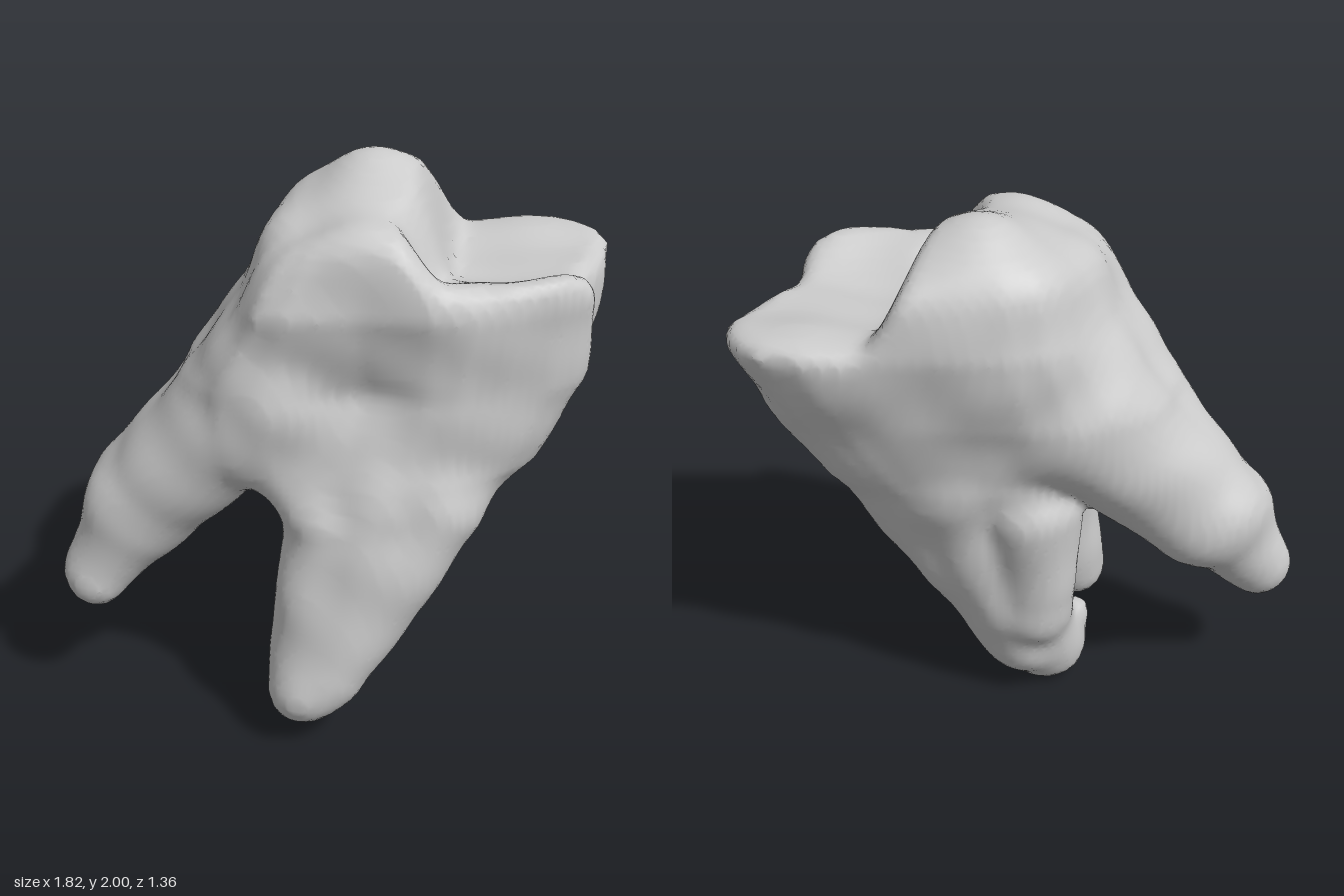
import * as THREE from 'three';

const V = (x, y, z) => new THREE.Vector3(x, y, z);
const { smoothstep, lerp } = THREE.MathUtils;

// Crown outlines: height, then (x, z) points around the contour
const OUTLINES = [
  [0.68, [[0, .2], [0, .05], [.1, -.15], [.25, -.22], [.38, -.18], [.42, 0], [.4, .2], [.3, .35], [.15, .42], [.03, .38]]],
  [0.84, [[-.1, .25], [-.13, 0], [.05, -.2], [.3, -.31], [.48, -.28], [.56, -.05], [.55, .2], [.35, .42], [.15, .5], [-.05, .5]]],
  [1.0, [[-.34, .2], [-.22, -.1], [.1, -.31], [.4, -.4], [.66, -.33], [.76, -.05], [.73, .15], [.45, .41], [.15, .48], [-.2, .5]]],
  [1.3, [[-.47, .15], [-.29, -.2], [.15, -.42], [.58, -.55], [.82, -.43], [.86, -.1], [.88, .1], [.52, .37], [.2, .39], [-.28, .54]]],
  [1.6, [[-.3, .08], [-.22, -.27], [.15, -.48], [.66, -.69], [.89, -.52], [.87, -.15], [.91, .1], [.55, .39], [.2, .47], [-.14, .53]]],
  [1.9, [[-.19, .05], [-.16, -.22], [.15, -.47], [.66, -.69], [.89, -.52], [.87, -.15], [.9, .1], [.55, .35], [.22, .42], [-.03, .4]]],
].map(([y, pts]) => ({
  y,
  pts: new THREE.CatmullRomCurve3(pts.map(([x, z]) => V(x, 0, z)), true).getPoints(30).slice(0, 30),
}));

// Root limbs: start, start radius, end, end radius
const LIMBS = [
  // right root, front half then back half
  [V(-.79, .49, .48), .115, V(-.65, .75, .37), .195],
  [V(-.65, .75, .37), .195, V(-.18, 1.24, .3), .25],
  [V(-.79, .52, .45), .11, V(-.62, .79, .29), .205],
  [V(-.62, .79, .29), .205, V(-.2, 1.24, .06), .28],
  // front root
  [V(.02, .2, .55), .13, V(.08, .8, .4), .16],
  [V(.07, .23, .54), .125, V(.24, .86, .35), .19],
  [V(.13, .27, .52), .13, V(.4, .86, .27), .2],
  // back root
  [V(-.08, .13, .1), .125, V(-.09, .4, -.05), .13],
  [V(-.09, .4, -.05), .13, V(-.07, .86, -.07), .19],
  [V(-.03, .12, .08), .12, V(.03, .25, 0), .14],
  [V(-.02, .22, -.02), .13, V(.19, .92, -.14), .2],
  [V(.03, .22, -.02), .12, V(.41, .9, -.1), .22],
  // curled tip of the back root
  [V(-.13, .18, .13), .075, V(-.16, .28, .14), .06],
];

const smin = (a, b, k) => {
  const h = Math.max(k - Math.abs(a - b), 0) / k;
  return Math.min(a, b) - h * h * k / 4;
};
const smax = (a, b, k) => -smin(-a, -b, k);
const bump = (x, z, cx, cz, w) => Math.exp(-((x - cx) ** 2 + (z - cz) ** 2) / w);

// Interpolated outline at a height
function outlineAt(y) {
  let i = 0;
  while (i < OUTLINES.length - 2 && y > OUTLINES[i + 1].y) i++;
  const a = OUTLINES[i], b = OUTLINES[i + 1];
  const t = THREE.MathUtils.clamp((y - a.y) / (b.y - a.y), 0, 1);
  return a.pts.map((p, j) => [lerp(p.x, b.pts[j].x, t), lerp(p.z, b.pts[j].z, t)]);
}

// Signed distance to a closed outline
function outlineDistance(pts, x, z) {
  let best = Infinity, inside = false;
  for (let i = 0, j = pts.length - 1; i < pts.length; j = i++) {
    const [ax, az] = pts[i], [bx, bz] = pts[j];
    const ex = bx - ax, ez = bz - az, px = x - ax, pz = z - az;
    const t = Math.min(1, Math.max(0, (px * ex + pz * ez) / (ex * ex + ez * ez)));
    best = Math.min(best, (px - ex * t) ** 2 + (pz - ez * t) ** 2);
    if ((az > z) !== (bz > z) && x < ax + ex * (z - az) / ez) inside = !inside;
  }
  return Math.sqrt(best) * (inside ? -1 : 1);
}

// Chewing surface: tall cusps on one side, a dished shelf on the other
function topHeight(x, z) {
  const cusps = 1.81 + .19 * bump(x, z, .12, -.11, .075) + .08 * bump(x, z, .2, .34, .03);
  const shelf = 1.64 + .07 * smoothstep(z, -.1, .3) - .06 * bump(x, z, .55, -.08, .06)
    + .03 * bump(x, z, .83, .08, .02) - .06 * bump(x, z, .4, .2, .006);
  return lerp(cusps, shelf, smoothstep(x - .13 * z + .05 * bump(0, z, 0, .2, .01), .25, .43));
}

function limbDistance(x, y, z, [a, ra, b, rb]) {
  const ex = b.x - a.x, ey = b.y - a.y, ez = b.z - a.z;
  const px = x - a.x, py = y - a.y, pz = z - a.z;
  const t = Math.min(1, Math.max(0, (px * ex + py * ey + pz * ez) / (ex * ex + ey * ey + ez * ez)));
  return Math.hypot(px - ex * t, py - ey * t, pz - ez * t) - lerp(ra, rb, t);
}

function toothDistance(x, y, z, outline) {
  let roots = Infinity;
  for (const limb of LIMBS) roots = smin(roots, limbDistance(x, y, z, limb), .04);
  const crown = smax(outlineDistance(outline, x, z), .7 - y, .08);
  const d = smax(smin(crown, roots, .09), (y - topHeight(x, z)) * .8, .08);
  // gentle lumps
  return d + .007 * Math.sin(13 * x + 4 * y) * Math.sin(15 * y + 3 * z) + .005 * Math.sin(17 * z - 9 * y + 5 * x);
}

// Skin the distance field: one vertex per crossed cell, one quad per crossed edge
function skin(min, size, step) {
  const n = size.map(s => Math.ceil(s / step) + 1);
  const stride = [1, n[0], n[0] * n[1]];
  const field = new Float32Array(n[0] * n[1] * n[2]);
  for (let j = 0; j < n[1]; j++) {
    const y = min[1] + j * step, outline = outlineAt(y);
    for (let k = 0; k < n[2]; k++) for (let i = 0; i < n[0]; i++) {
      field[i + j * stride[1] + k * stride[2]] = toothDistance(min[0] + i * step, y, min[2] + k * step, outline);
    }
  }
  const cell = new Int32Array(field.length).fill(-1), positions = [], index = [];
  const corner = c => [c & 1, (c >> 1) & 1, c >> 2];
  for (let k = 0; k < n[2] - 1; k++) for (let j = 0; j < n[1] - 1; j++) for (let i = 0; i < n[0] - 1; i++) {
    const id = i + j * stride[1] + k * stride[2], sum = [0, 0, 0];
    let hits = 0;
    for (let c = 0; c < 8; c++) for (let a = 0; a < 3; a++) {
      if (c & (1 << a)) continue;
      const o = corner(c), p = id + o[0] + o[1] * stride[1] + o[2] * stride[2];
      const f0 = field[p], f1 = field[p + stride[a]];
      if ((f0 < 0) === (f1 < 0)) continue;
      o[a] += f0 / (f0 - f1);
      o.forEach((v, q) => { sum[q] += v; });
      hits++;
    }
    if (!hits) continue;
    cell[id] = positions.length / 3;
    [i, j, k].forEach((v, q) => positions.push(min[q] + (v + sum[q] / hits) * step));
  }
  for (let k = 1; k < n[2] - 1; k++) for (let j = 1; j < n[1] - 1; j++) for (let i = 1; i < n[0] - 1; i++) {
    const id = i + j * stride[1] + k * stride[2];
    for (let a = 0; a < 3; a++) {
      const inside = field[id] < 0;
      if (inside === (field[id + stride[a]] < 0)) continue;
      const b = stride[(a + 1) % 3], c = stride[(a + 2) % 3];
      const q = [id - b - c, id - c, id, id - b].map(v => cell[v]);
      if (!inside) q.reverse();
      index.push(q[0], q[1], q[2], q[0], q[2], q[3]);
    }
  }
  const geometry = new THREE.BufferGeometry();
  geometry.setAttribute('position', new THREE.Float32BufferAttribute(positions, 3));
  geometry.setIndex(index);
  geometry.computeVertexNormals();
  return geometry;
}

export function createModel() {
  const group = new THREE.Group();
  group.name = 'molar';
  const geometry = skin([-1.05, -.12, -.85], [2.1, 2.24, 1.7], .026);
  const tooth = new THREE.Mesh(geometry, new THREE.MeshStandardMaterial({ color: 0xcccccc }));
  tooth.name = 'crownAndRoots';
  group.add(tooth);
  return group;
}
